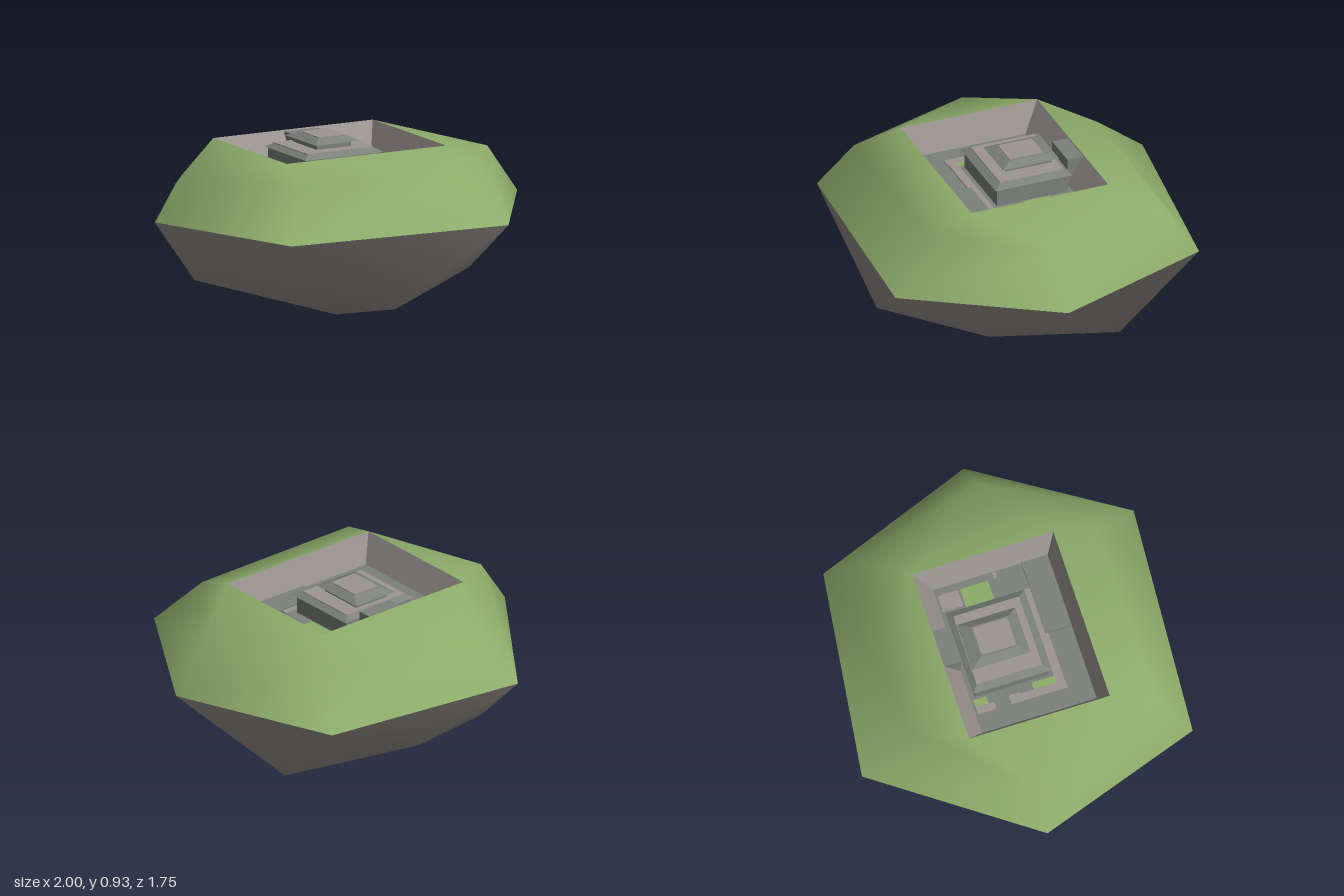
import * as THREE from 'three';

export function createModel() {
  const model = new THREE.Group();
  const mat = (name, color) => Object.assign(new THREE.MeshStandardMaterial({ color }), { name });
  const grass = mat('grass green', 0x8dac6a);
  const rock = mat('warm rock grey', 0x9c9591);
  const stone = mat('cool stone grey', 0x7c817c);

  // Mesh from corner points and triangles, smooth or flat
  function shell(name, material, points, tris, smooth, parent = model) {
    let geo = new THREE.BufferGeometry();
    geo.setAttribute('position', new THREE.Float32BufferAttribute(points.flat(), 3));
    geo.setIndex(tris.flat());
    if (!smooth) geo = geo.toNonIndexed();
    geo.computeVertexNormals();
    const mesh = new THREE.Mesh(geo, material);
    mesh.name = name;
    parent.add(mesh);
    return mesh;
  }

  // Corners of a rectangle [x0, x1, z0, z1] at height y
  const rect = ([x0, x1, z0, z1], y) => [[x1, y, z1], [x0, y, z1], [x0, y, z0], [x1, y, z0]];

  // Block with a base rectangle and a top rectangle
  function frustum(name, material, base, y0, top, y1, parent = model) {
    const tris = [[4, 7, 6], [4, 6, 5], [0, 1, 2], [0, 2, 3]];
    for (let i = 0; i < 4; i++) {
      const j = (i + 1) % 4;
      tris.push([j, i, 4 + i], [j, 4 + i, 4 + j]);
    }
    return shell(name, material, [...rect(base, y0), ...rect(top, y1)], tris, false, parent);
  }
  const block = (name, material, r, y0, y1, parent) => frustum(name, material, r, y0, r, y1, parent);

  // Six-cornered island: rim, shoulder ring and lower ring
  const rimY = 0.56;
  const rim = [[1, 0.12], [0.52, 0.87], [-0.7, 0.79], [-1, -0.08], [-0.42, -0.88], [0.68, -0.73]]
    .map(([x, z]) => [x, rimY, z]);
  const shoulder = [[0.82, 0.81, 0.13], [0.4, 0.82, 0.63], [-0.57, 0.82, 0.64],
    [-0.85, 0.79, -0.07], [-0.34, 0.8, -0.6], [0.6, 0.81, -0.58]];
  const lower = [[0.57, 0.25, 0.38], [-0.06, 0.16, 0.73], [-0.62, 0.24, 0.28],
    [-0.58, 0.16, -0.41], [0.06, 0.29, -0.68], [0.64, 0.16, -0.31]];
  const pitTop = [-0.51, 0.42, -0.34, 0.41];
  const pitFloor = [-0.45, 0.36, -0.25, 0.36];
  const topY = 0.9, floorY = 0.75;

  const rockTris = [], grassTris = [];
  for (let i = 0; i < 6; i++) {
    const j = (i + 1) % 6;
    rockTris.push([i, j, 6 + i], [6 + i, j, 6 + j], [6 + i, 6 + j, 12]);
    grassTris.push([j, i, 6 + i], [j, 6 + i, 6 + j]);
  }
  shell('rockUnderside', rock, [...rim, ...lower, [0, 0, 0.02]], rockTris, true);

  // Shoulder (6-11) joined to the four pit corners (12-15)
  grassTris.push([7, 6, 12], [8, 7, 13], [7, 12, 13], [9, 8, 13], [9, 13, 14],
    [10, 9, 14], [10, 14, 15], [11, 10, 15], [6, 11, 15], [6, 15, 12]);
  shell('grassTop', grass, [...rim, ...shoulder, ...rect(pitTop, topY)], grassTris, true);

  // Sunken courtyard with sloping walls
  const court = new THREE.Group();
  court.name = 'courtyard';
  model.add(court);
  const wallTris = [];
  for (let i = 0; i < 4; i++) {
    const j = (i + 1) % 4;
    wallTris.push([i, j, 4 + i], [j, 4 + j, 4 + i]);
  }
  const wallPoints = [...rect(pitTop, topY), ...rect(pitFloor, floorY)];
  const walls = shell('courtyardWalls', rock, wallPoints, wallTris, false, court);
  // Keep the walls facing into the pit
  if (walls.geometry.attributes.normal.getY(0) < 0) {
    walls.geometry.dispose();
    court.remove(walls);
    shell('courtyardWalls', rock, wallPoints, wallTris.map(([a, b, c]) => [a, c, b]), false, court);
  }
  block('courtyardFloor', stone, pitFloor, floorY - 0.02, floorY, court);
  block('backGate', stone, [-0.1, 0.1, -0.34, -0.25], floorY, 0.893, court);
  block('frontStep', stone, [-0.04, 0.36, 0.22, 0.36], floorY, floorY + 0.012, court);

  // Paving and grass patches on the floor
  const patches = (name, material, list) => list.forEach((r) =>
    block(name, material, r, floorY, floorY + 0.006, court));
  patches('pavingPatch', rock, [[-0.35, -0.31, -0.24, -0.14], [-0.35, -0.3, -0.06, 0],
    [-0.35, -0.31, 0, 0.24], [-0.31, 0.22, 0.19, 0.235], [0.23, 0.32, -0.24, -0.13],
    [0.32, 0.355, 0.06, 0.08]]);
  patches('grassPatch', grass, [[0.18, 0.32, -0.12, 0.03], [-0.31, -0.27, -0.24, -0.17],
    [-0.31, -0.27, 0.07, 0.19]]);

  // Stepped shrine: walls, lower roof, neck, upper roof
  const shrine = new THREE.Group();
  shrine.name = 'shrine';
  model.add(shrine);
  block('shrineWalls', stone, [-0.255, 0.165, -0.225, 0.165], floorY, 0.85, shrine);
  frustum('lowerRoof', stone, [-0.27, 0.185, -0.24, 0.18], 0.85, [-0.235, 0.15, -0.21, 0.14], 0.87, shrine);
  block('lowerRoofPaving', rock, [-0.235, 0.15, -0.21, 0.14], 0.87, 0.874, shrine);
  block('shrineNeck', stone, [-0.14, 0.06, -0.18, 0.07], 0.87, 0.905, shrine);
  frustum('upperRoof', stone, [-0.165, 0.09, -0.21, 0.1], 0.903, [-0.12, 0.05, -0.15, 0.05], 0.926, shrine);
  block('upperRoofPaving', rock, [-0.112, 0.042, -0.142, 0.042], 0.926, 0.93, shrine);

  return model;
}
